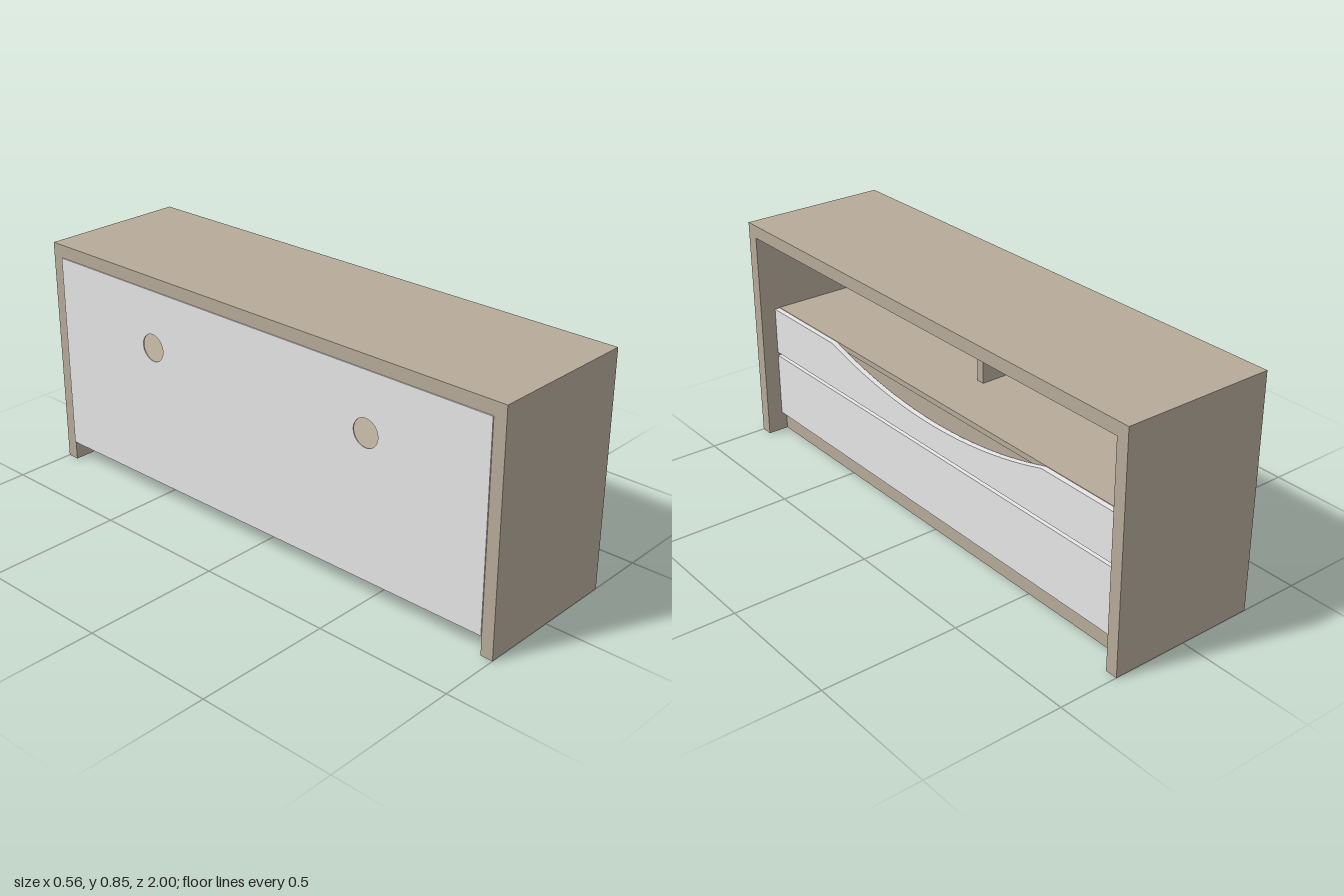
import * as THREE from 'three';

const wood = new THREE.MeshStandardMaterial({ color: 0xb7ab9a });
wood.name = 'wood';
const grey = new THREE.MeshStandardMaterial({ color: 0xe6e6e6 });
grey.name = 'pale grey';

const BACK = -0.277, FRONT = 0.28, INNER = 0.955, HEIGHT = 0.853, UNDER_TOP = 0.805;
const FLOOR = 0.072, SHELF = 0.509;

export function createModel() {
  const cabinet = new THREE.Group();
  cabinet.name = 'cabinet';

  // Board given by its limits on each axis
  function board(name, material, [x0, x1], [y0, y1], [z0, z1]) {
    const mesh = new THREE.Mesh(new THREE.BoxGeometry(x1 - x0, y1 - y0, z1 - z0), material);
    mesh.position.set((x0 + x1) / 2, (y0 + y1) / 2, (z0 + z1) / 2);
    mesh.name = name;
    cabinet.add(mesh);
  }

  // Upright panel cut from an outline of (-z, y), extruded along x
  function panel(name, material, shape, x0, x1) {
    const geometry = new THREE.ExtrudeGeometry(shape, { depth: x1 - x0, bevelEnabled: false, curveSegments: 32 });
    geometry.rotateY(Math.PI / 2).translate(x0, 0, 0);
    const mesh = new THREE.Mesh(geometry, material);
    mesh.name = name;
    cabinet.add(mesh);
  }

  const span = [-INNER, INNER];

  // Carcass
  board('top', wood, [BACK, FRONT], [UNDER_TOP, HEIGHT], [-1, 1]);
  board('leftSide', wood, [BACK, FRONT], [0, UNDER_TOP], [-1, -INNER]);
  board('rightSide', wood, [BACK, FRONT], [0, UNDER_TOP], [INNER, 1]);
  board('floor', wood, [BACK, 0.2], [FLOOR, FLOOR + 0.045], span);
  board('plinth', wood, [0.155, 0.2], [0, FLOOR], span);
  board('shelf', wood, [BACK, 0.2], [0.489, SHELF], span);
  board('divider', wood, [BACK, 0], [SHELF, UNDER_TOP], [-0.014, 0.016]);

  // Back panel with two cable holes
  const back = new THREE.Shape();
  back.moveTo(-INNER, FLOOR);
  back.lineTo(INNER, FLOOR);
  back.lineTo(INNER, UNDER_TOP);
  back.lineTo(-INNER, UNDER_TOP);
  back.closePath();
  for (const x of [-0.485, 0.482]) {
    back.holes.push(new THREE.Path().absarc(x, 0.594, 0.05, 0, Math.PI * 2, true));
  }
  panel('backPanel', grey, back, BACK - 0.004, BACK);

  // Lower drawer, with a recessed strip above it
  board('lowerDrawerFront', grey, [0.2, 0.22], [FLOOR, 0.316], span);
  board('drawerGap', grey, [0.19, 0.2], [0.3, 0.345], span);

  // Upper drawer front with a scooped hand grip
  const grip = 0.57, drop = 0.084, top = SHELF - 0.002;
  const radius = (grip * grip + drop * drop) / (2 * drop);
  const angle = Math.asin(grip / radius);
  const front = new THREE.Shape();
  front.moveTo(-INNER, 0.329);
  front.lineTo(INNER, 0.329);
  front.lineTo(INNER, top);
  front.lineTo(grip, top);
  front.absarc(0, top - drop + radius, radius, -Math.PI / 2 + angle, -Math.PI / 2 - angle, true);
  front.lineTo(-INNER, top);
  front.closePath();
  panel('upperDrawerFront', grey, front, 0.2, 0.22);
  board('upperDrawerBox', wood, [0.17, 0.197], [0.345, 0.488], span);

  return cabinet;
}
